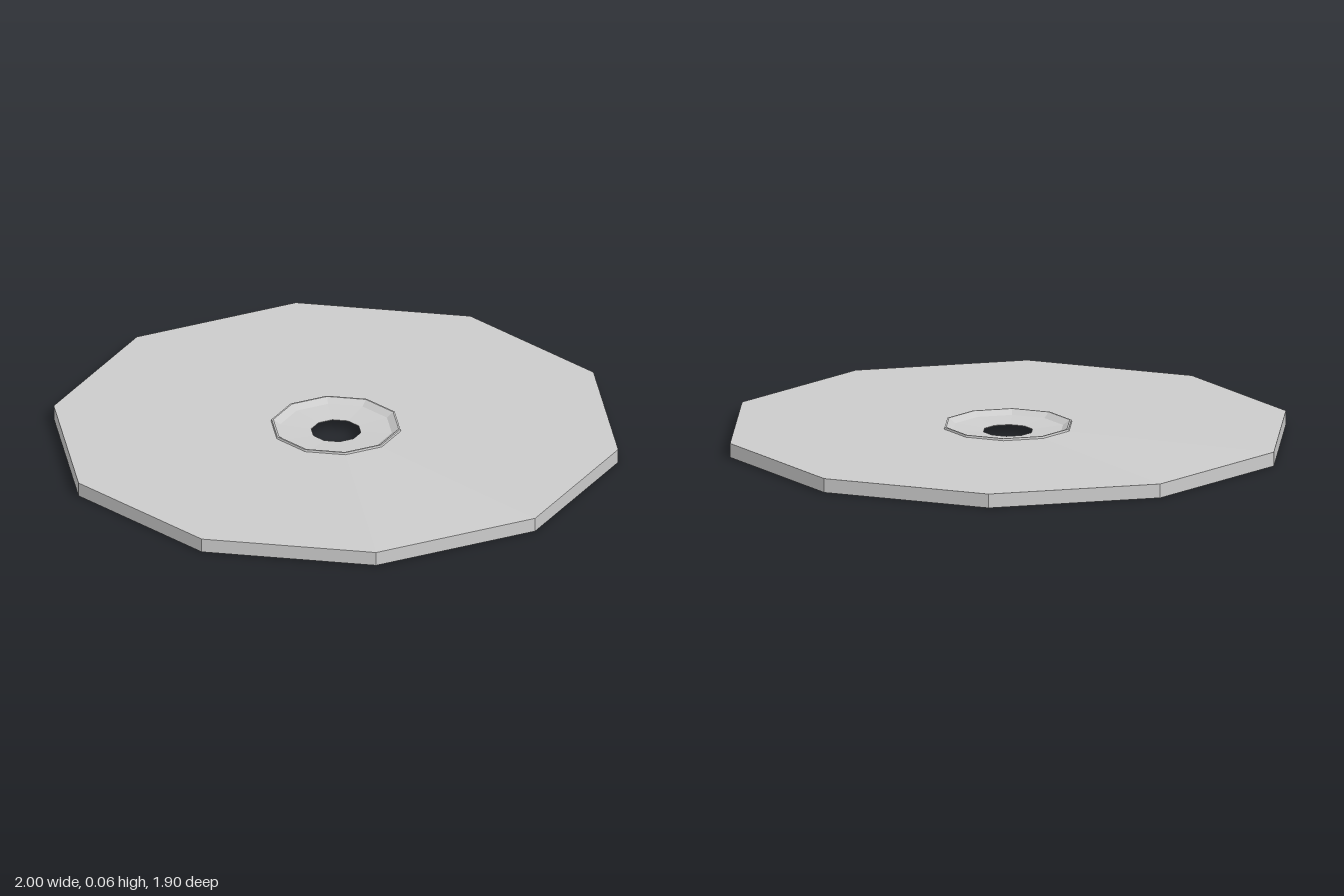
import * as THREE from 'three';

const SIDES = 10;

// Revolves a [radius, height] profile into a ten-sided ring with corners on +x and -x
function ring(name, profile, material) {
  const points = profile.map(([r, y]) => new THREE.Vector2(r, y));
  const mesh = new THREE.Mesh(new THREE.LatheGeometry(points, SIDES, Math.PI / 2), material);
  mesh.name = name;
  return mesh;
}

export function createModel() {
  const group = new THREE.Group();
  group.name = 'disc';
  const material = new THREE.MeshStandardMaterial({
    color: 0xcccccc, flatShading: true, side: THREE.DoubleSide,
  });

  // Slightly hollow underside, upright edge, gently rising top
  group.add(ring('discBody', [[0.088, 0.036], [1, 0], [1, 0.05], [0.23, 0.056]], material));

  // Raised lip with a shallow dish running down to the centre hole
  group.add(ring('hubDish', [[0.23, 0.056], [0.228, 0.063], [0.222, 0.063], [0.198, 0.046], [0.088, 0.038], [0.088, 0.036]], material));

  return group;
}
